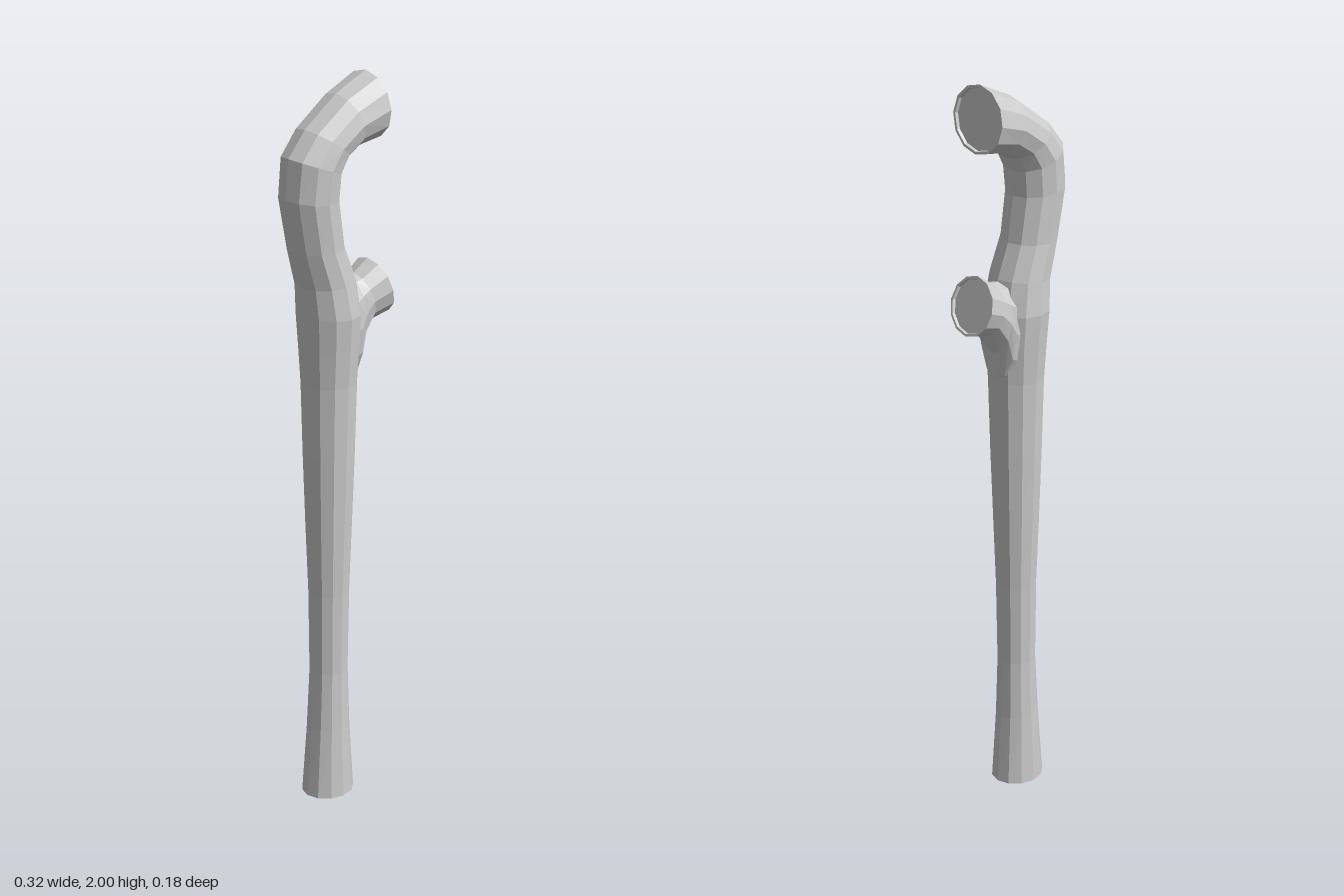
import * as THREE from 'three';

const SIDES = 12;

// Each ring: [outer x, outer y, inner x, inner y, half depth in z]
function sweep(rings) {
  const pos = [], index = [];
  for (const [px, py, qx, qy, b] of rings) {
    for (let j = 0; j < SIDES; j++) {
      const t = (j / SIDES) * Math.PI * 2, c = Math.cos(t);
      pos.push((px + qx) / 2 + c * (qx - px) / 2, (py + qy) / 2 + c * (qy - py) / 2, b * Math.sin(t));
    }
  }
  for (let i = 0; i < rings.length - 1; i++) {
    for (let j = 0; j < SIDES; j++) {
      const k = (j + 1) % SIDES;
      const a = i * SIDES + j, n = i * SIDES + k;
      index.push(a, a + SIDES, n, n, a + SIDES, n + SIDES);
    }
  }
  const g = new THREE.BufferGeometry();
  g.setAttribute('position', new THREE.Float32BufferAttribute(pos, 3));
  g.setIndex(index);
  g.computeVertexNormals();
  return g;
}

// Ring shrunk about its centre by s and pushed back along its axis by d
function inset([px, py, qx, qy, b], s, d) {
  const cx = (px + qx) / 2, cy = (py + qy) / 2, len = Math.hypot(qx - px, qy - py);
  const ox = d * (qy - py) / len, oy = -d * (qx - px) / len;
  return [cx + (px - cx) * s + ox, cy + (py - cy) * s + oy,
    cx + (qx - cx) * s + ox, cy + (qy - cy) * s + oy, b * s];
}

// Thin rim with a slightly sunken end face
function cappedEnd(rings) {
  const last = rings[rings.length - 1];
  return [...rings, inset(last, 0.92, 0), inset(last, 0.9, 0.008), inset(last, 0, 0.008)];
}

export function createModel() {
  const group = new THREE.Group();
  const material = new THREE.MeshStandardMaterial({ color: 0xcccccc, flatShading: true });

  const add = (name, rings) => {
    const mesh = new THREE.Mesh(sweep(rings), material);
    mesh.name = name;
    group.add(mesh);
  };

  // Long tapering stem that bends over at the top
  add('mainStem', cappedEnd([
    [-0.025, 0, -0.025, 0, 0],
    [-0.098, 0, 0.05, 0, 0.067],
    [-0.082, 0.2, 0.037, 0.2, 0.058],
    [-0.073, 0.37, 0.032, 0.37, 0.053],
    [-0.075, 0.6, 0.036, 0.6, 0.056],
    [-0.082, 0.8, 0.043, 0.8, 0.064],
    [-0.088, 1.0, 0.05, 1.0, 0.071],
    [-0.092, 1.2, 0.055, 1.2, 0.077],
    [-0.097, 1.3, 0.061, 1.3, 0.085],
    [-0.102, 1.39, 0.062, 1.39, 0.092],
    [-0.108, 1.47, 0.045, 1.48, 0.083],
    [-0.135, 1.57, 0.01, 1.57, 0.077],
    [-0.161, 1.71, -0.008, 1.69, 0.08],
    [-0.15, 1.815, -0.002, 1.757, 0.083],
    [-0.097, 1.88, 0.016, 1.795, 0.083],
    [0.005, 1.955, 0.05, 1.816, 0.085],
    [0.103, 2.0, 0.118, 1.825, 0.09],
  ]));

  // Short side branch flaring out of the stem
  add('sideBranch', cappedEnd([
    [-0.03, 1.48, 0.0, 1.18, 0.07],
    [0.025, 1.485, 0.055, 1.21, 0.068],
    [0.045, 1.475, 0.066, 1.285, 0.065],
    [0.065, 1.475, 0.1, 1.342, 0.065],
    [0.113, 1.506, 0.157, 1.355, 0.077],
  ]));

  return group;
}
